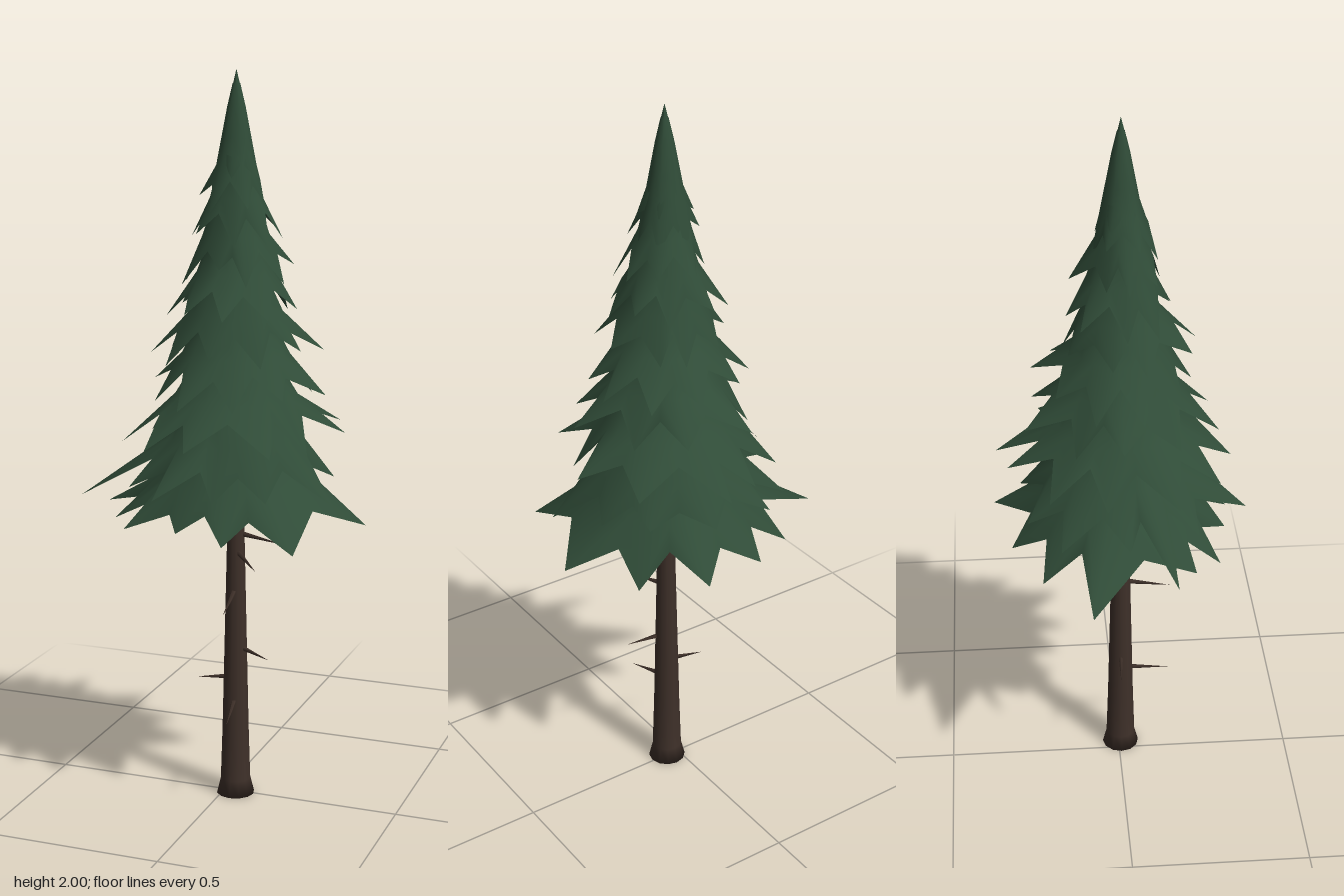
import * as THREE from 'three';

const CX = 0.034, CZ = 0.006; // trunk axis

// small seeded random generator
function seeded(seed) {
  let s = seed;
  return () => (s = (s * 16807) % 2147483647) / 2147483647;
}

// One jagged skirt of branches: smooth rings that end in alternating notches and tips.
// rings: [radius, y] from the top down; tips: [x, z, y] relative to the axis.
function skirt(rings, tips, notchR, notchY) {
  const list = tips
    .map(([x, z, y]) => ({ a: Math.atan2(x, z), r: Math.hypot(x, z), y }))
    .sort((p, q) => p.a - q.a);
  const edge = [];
  list.forEach((t, i) => {
    const next = list[(i + 1) % list.length];
    const gap = (next.a - t.a + Math.PI * 2) % (Math.PI * 2);
    const fit = 0.5 * notchR + 0.5 * 0.75 * Math.min(t.r, next.r);
    edge.push(t, { a: t.a + gap / 2, r: fit, y: notchY + (i % 2) * 0.012 });
  });
  const n = edge.length, pos = [], index = [];
  for (const [r, y] of rings)
    for (const e of edge) pos.push(Math.sin(e.a) * r, y, Math.cos(e.a) * r);
  for (const e of edge) pos.push(Math.sin(e.a) * e.r, e.y, Math.cos(e.a) * e.r);
  for (let j = 0; j < rings.length; j++)
    for (let i = 0; i < n; i++) {
      const k = (i + 1) % n, a = j * n + i, b = j * n + k, c = a + n, d = b + n;
      // keep the crease of each branch running to its tip
      if (i % 2) index.push(a, c, d, a, d, b);
      else index.push(a, c, b, b, c, d);
    }
  const g = new THREE.BufferGeometry();
  g.setAttribute('position', new THREE.Float32BufferAttribute(pos, 3));
  g.setIndex(index);
  g.computeVertexNormals();
  return g;
}

export function createModel() {
  const tree = new THREE.Group();
  const bark = new THREE.MeshStandardMaterial({ color: 0x3e3029 });
  const needles = new THREE.MeshStandardMaterial({ color: 0x304c38, side: THREE.DoubleSide });
  const add = (name, geometry, material) => {
    const mesh = new THREE.Mesh(geometry, material);
    mesh.name = name;
    tree.add(mesh);
    return mesh;
  };
  const addFoliage = (name, ...args) => add(name, skirt(...args), needles).position.set(CX, 0, CZ);

  // trunk with a flared foot
  const trunkProfile = [[0, 0], [0.053, 0], [0.042, 0.045], [0.037, 0.2], [0.022, 0.85], [0.012, 1.4], [0, 1.7]];
  add('trunk', new THREE.LatheGeometry(trunkProfile.map(p => new THREE.Vector2(...p)), 12), bark)
    .position.set(CX, 0, CZ);

  // bare twigs: height on the trunk, then the tip
  const twigs = [
    [0.76, 0.17, 0.735, 0.0], [0.71, 0.125, 0.68, 0.1], [0.6, 0.05, 0.565, 0.15],
    [0.435, 0.145, 0.415, 0.045], [0.345, -0.085, 0.325, 0.0], [0.285, 0.06, 0.255, 0.15],
  ];
  for (const [y, tx, ty, tz] of twigs) {
    const from = new THREE.Vector3(CX, y, CZ), dir = new THREE.Vector3(tx, ty, tz).sub(from);
    const twig = add('twig', new THREE.ConeGeometry(0.009, dir.length(), 5), bark);
    twig.position.copy(from).addScaledVector(dir, 0.5);
    twig.quaternion.setFromUnitVectors(new THREE.Vector3(0, 1, 0), dir.normalize());
  }

  // the two widest skirts, with their branches placed by hand
  const local = tips => tips.map(([x, z, y]) => [x - CX, z - CZ, y]);
  addFoliage('branchSkirt',
    [[0.012, 1.17], [0.08, 1.11], [0.15, 1.01], [0.205, 0.92]],
    local([[-0.39, -0.095, 0.79], [-0.245, 0.19, 0.82], [-0.19, 0.26, 0.81], [-0.03, 0.29, 0.82],
      [0.105, 0.31, 0.8], [0.29, 0.285, 0.79], [0.39, -0.04, 0.8], [0.26, -0.2, 0.775],
      [0.135, -0.345, 0.82], [-0.065, -0.3, 0.8], [-0.21, -0.22, 0.78]]), 0.26, 0.85);
  addFoliage('branchSkirt',
    [[0.012, 1.28], [0.075, 1.21], [0.13, 1.12], [0.18, 1.03]],
    local([[-0.37, 0.13, 0.86], [-0.2, 0.2, 0.91], [-0.075, 0.34, 0.915], [0.06, 0.26, 0.9], [0.19, 0.21, 0.9],
      [0.34, 0.1, 0.88], [0.29, -0.07, 0.92], [0.21, -0.18, 0.93], [0.06, -0.27, 0.93],
      [-0.125, -0.255, 0.92], [-0.24, -0.17, 0.9], [-0.28, 0.01, 0.92]]), 0.23, 0.96);

  // smaller skirts above: tip height, tip radius, number of branches
  const tiers = [
    [1.03, 0.285, 11], [1.15, 0.245, 10], [1.26, 0.215, 10], [1.37, 0.178, 9],
    [1.47, 0.15, 9], [1.57, 0.118, 8], [1.655, 0.09, 7],
  ];
  const rand = seeded(4711);
  tiers.forEach(([y, r, n], t) => {
    const tips = [];
    for (let i = 0; i < n; i++) {
      const a = (i + t * 0.45 + (rand() - 0.5) * 0.45) / n * Math.PI * 2;
      const len = r * (0.85 + rand() * 0.3);
      tips.push([Math.sin(a) * len, Math.cos(a) * len, y + (rand() - 0.5) * 0.05]);
    }
    // one extra long branch at the back
    if (t === 0) tips[5] = [0.026, -0.34, 1.04];
    const notchY = y + 0.045 + r * 0.06;
    addFoliage('branchSkirt',
      [[0.01, notchY + 0.26], [r * 0.27, notchY + 0.2], [r * 0.44, notchY + 0.12], [r * 0.59, notchY + 0.05]],
      tips, r * 0.73, notchY);
  });

  // pointed crown top
  const crownTips = [];
  for (let i = 0; i < 6; i++) {
    const a = (i + rand() * 0.3) / 6 * Math.PI * 2, len = 0.06 + rand() * 0.015;
    crownTips.push([Math.sin(a) * len, Math.cos(a) * len, 1.69 + rand() * 0.04]);
  }
  addFoliage('crownTop', [[0.0005, 2], [0.015, 1.94], [0.03, 1.87], [0.042, 1.8]], crownTips, 0.051, 1.745);

  return tree;
}
